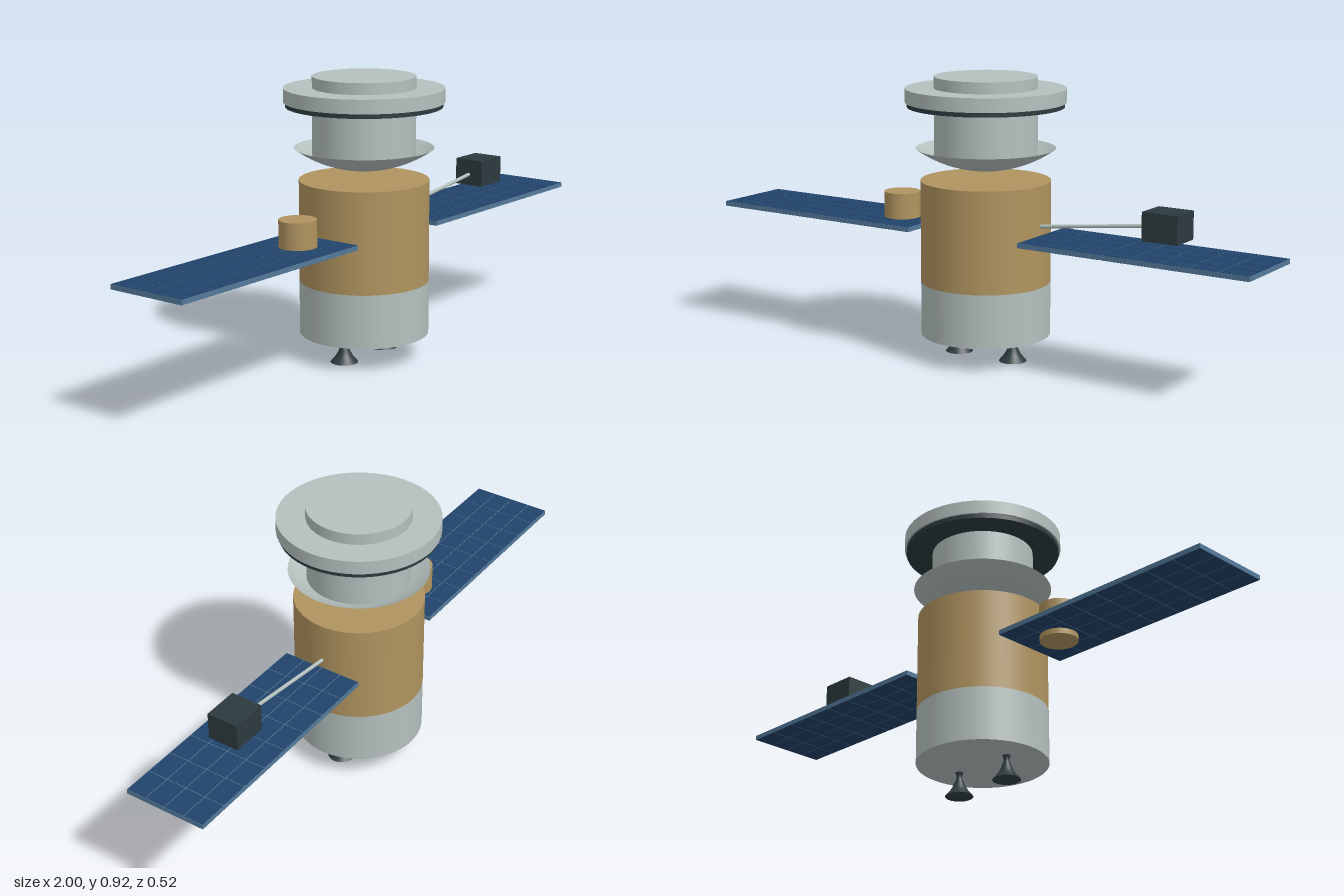
import * as THREE from 'three';

const mat = (color, side = THREE.FrontSide) => new THREE.MeshStandardMaterial({ color, side });

export function createModel() {
  const model = new THREE.Group();
  model.name = 'satellite';

  const white = mat(0xb4c0be);
  const gold = mat(0xb0945f);
  const dark = mat(0x2c3a3e);
  const darkOpen = mat(0x2c3a3e, THREE.DoubleSide);
  const dishMat = mat(0xb4c0be, THREE.DoubleSide);
  const frameMat = mat(0x53799a);
  const cellMat = mat(0x21436a);

  function add(name, geometry, material, x = 0, y = 0, z = 0, parent = model) {
    const mesh = new THREE.Mesh(geometry, material);
    mesh.name = name;
    mesh.position.set(x, y, z);
    parent.add(mesh);
    return mesh;
  }

  // Upright cylinder between two heights
  const drum = (name, r, y0, y1, material, x = 0, segments = 48) =>
    add(name, new THREE.CylinderGeometry(r, r, y1 - y0, segments), material, x, (y0 + y1) / 2);

  // Main body and the top stack
  drum('lowerBody', 0.21, 0.08, 0.255, white);
  drum('upperBody', 0.21, 0.255, 0.586, gold);
  drum('topTube', 0.166, 0.664, 0.92, white);
  drum('flange', 0.258, 0.838, 0.883, white);
  drum('flangeSeal', 0.252, 0.823, 0.838, dark);

  // Shallow open dish: a spherical cap
  const rim = 0.225, depth = 0.072;
  const R = (rim * rim + depth * depth) / (2 * depth);
  const profile = [];
  for (let i = 0; i <= 14; i++) {
    const a = (i / 14) * Math.asin(rim / R);
    profile.push(new THREE.Vector2(R * Math.sin(a), R * (1 - Math.cos(a))));
  }
  add('dish', new THREE.LatheGeometry(profile, 48), dishMat, 0, 0.618);

  // Engine nozzles, bell shaped and open below
  const bell = new THREE.SplineCurve([
    [0.045, 0], [0.027, 0.022], [0.016, 0.044], [0.009, 0.064], [0.013, 0.081],
  ].map(([x, y]) => new THREE.Vector2(x, y))).getPoints(16);
  for (const s of [-1, 1]) {
    add(s > 0 ? 'leftNozzle' : 'rightNozzle', new THREE.LatheGeometry(bell, 32), darkOpen, s * 0.105);
  }

  // Solar wings: a frame slab with a grid of slightly proud cells
  const inner = 0.21, length = 0.79, width = 0.276, cols = 8, rows = 4;
  const cw = length / cols, cd = width / rows;
  const cellGeo = new THREE.BoxGeometry(cw - 0.003, 0.0165, cd - 0.003);
  for (const s of [-1, 1]) {
    const wing = new THREE.Group();
    wing.name = s > 0 ? 'leftSolarWing' : 'rightSolarWing';
    wing.position.set(s * (inner + length / 2), 0.42, 0);
    model.add(wing);
    add('wingFrame', new THREE.BoxGeometry(length, 0.015, width), frameMat, 0, 0, 0, wing);
    for (let i = 0; i < cols; i++) {
      for (let j = 0; j < rows; j++) {
        add('solarCell', cellGeo, cellMat, (i + 0.5) * cw - length / 2, 0, (j + 0.5) * cd - width / 2, wing);
      }
    }
  }

  // Canister passing through the right wing
  drum('canister', 0.06, 0.394, 0.514, gold, -0.335, 32);

  // Instrument box on a slanted boom
  add('instrumentBox', new THREE.BoxGeometry(0.12, 0.09, 0.106), dark, 0.66, 0.512);
  const start = new THREE.Vector3(0.19, 0.454, 0);
  const end = new THREE.Vector3(0.62, 0.507, 0);
  const dir = end.clone().sub(start);
  const mid = start.clone().lerp(end, 0.5);
  const boom = add('boom', new THREE.CylinderGeometry(0.006, 0.006, dir.length(), 12), white, mid.x, mid.y);
  boom.quaternion.setFromUnitVectors(new THREE.Vector3(0, 1, 0), dir.normalize());

  return model;
}
